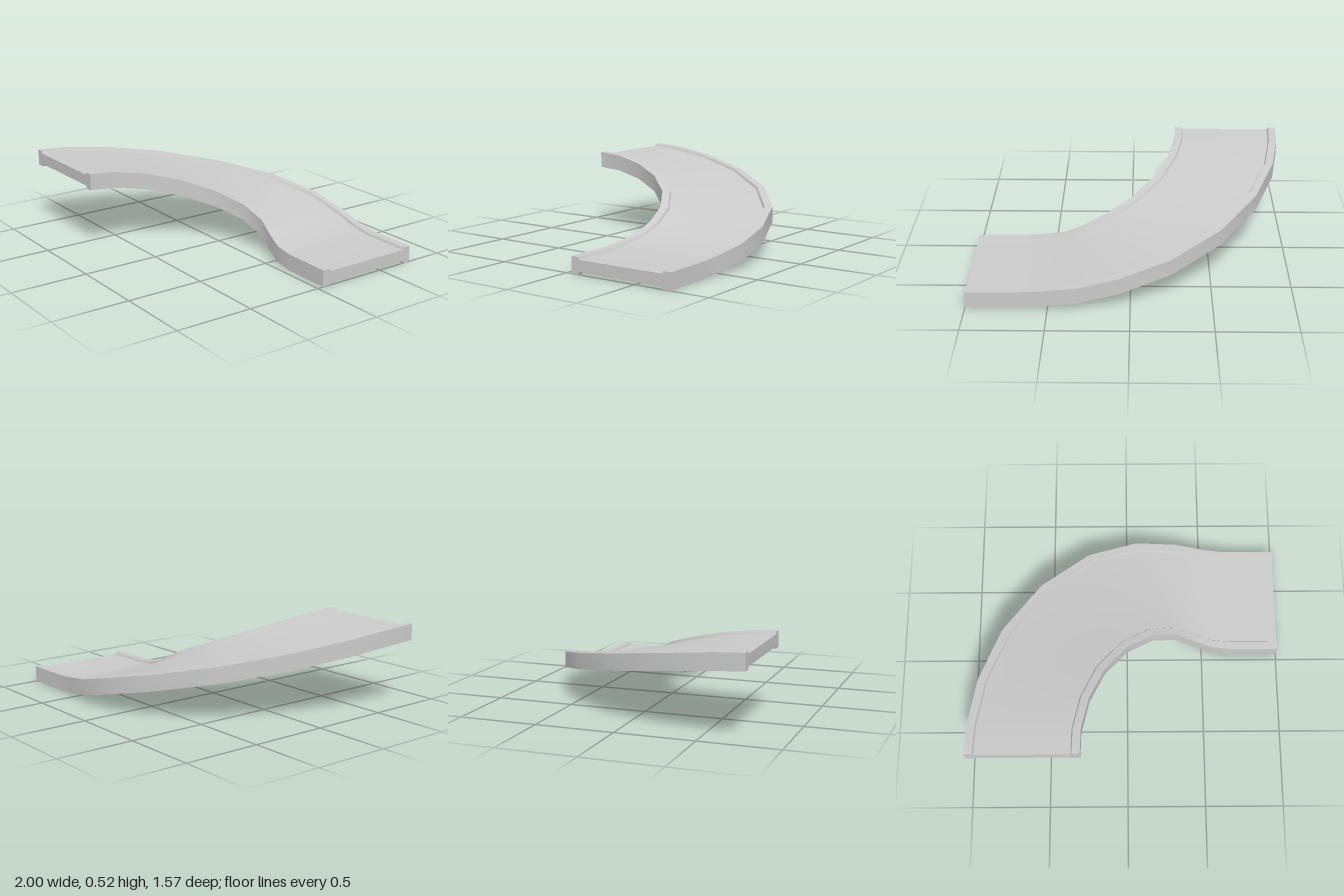
import * as THREE from 'three';

// Stations along the ramp: outer x, outer z, inner x, inner z, underside height
const STATIONS = [
  [-1.0, 0.783, -0.293, 0.783, 0.42],
  [-0.99, 0.59, -0.288, 0.62, 0.408],
  [-0.938, 0.29, -0.24, 0.41, 0.372],
  [-0.8, -0.065, -0.145, 0.205, 0.316],
  [-0.56, -0.403, 0.003, 0.03, 0.246],
  [-0.25, -0.652, 0.17, -0.075, 0.177],
  [0.067, -0.769, 0.32, -0.105, 0.11],
  [0.33, -0.785, 0.435, -0.082, 0.05],
  [0.53, -0.76, 0.56, -0.048, 0.016],
  [0.67, -0.749, 0.68, -0.04, 0.002],
  [1.0, -0.749, 1.0, -0.04, 0],
];

// Cross-section, counter-clockwise: [side (0 outer, 1 inner), inset, height]
const H = 0.105, RAIL = 0.05, FOOT = 0.058, LIP = 0.016;
const PROFILE = [
  [0, 0, 0], [0, RAIL, 0], [0, FOOT, LIP],
  [1, FOOT, LIP], [1, RAIL, 0], [1, 0, 0],
  [1, 0, H], [1, RAIL, H], [1, FOOT, H - LIP],
  [0, FOOT, H - LIP], [0, RAIL, H], [0, 0, H],
];

function sectionPoint([ox, oz, ix, iz, base], [side, inset, height]) {
  const width = Math.hypot(ix - ox, iz - oz);
  const t = side ? 1 - inset / width : inset / width;
  return [ox + (ix - ox) * t, base + height, oz + (iz - oz) * t];
}

function makeMesh(name, positions, index) {
  const geometry = new THREE.BufferGeometry();
  geometry.setAttribute('position', new THREE.Float32BufferAttribute(positions, 3));
  geometry.setIndex(index);
  geometry.computeVertexNormals();
  const mesh = new THREE.Mesh(geometry, new THREE.MeshStandardMaterial({ color: 0xcccccc }));
  mesh.name = name;
  return mesh;
}

// Surfaces smooth along the length, sharp between the profile's faces
function sweep(name, edges) {
  const positions = [], index = [];
  for (const e of edges) {
    const start = positions.length / 3;
    STATIONS.forEach((s, i) => {
      positions.push(...sectionPoint(s, PROFILE[e]));
      positions.push(...sectionPoint(s, PROFILE[(e + 1) % PROFILE.length]));
      if (i === STATIONS.length - 1) return;
      const a = start + i * 2;
      index.push(a, a + 2, a + 1, a + 1, a + 2, a + 3);
    });
  }
  return makeMesh(name, positions, index);
}

// Flat end face
function cap(name, station, reversed) {
  const outline = PROFILE.map(([side, inset, h]) => new THREE.Vector2(side ? 0.71 - inset : inset, h));
  const index = THREE.ShapeUtils.triangulateShape(outline, [])
    .flatMap(([a, b, c]) => (reversed ? [a, c, b] : [a, b, c]));
  return makeMesh(name, PROFILE.flatMap((p) => sectionPoint(station, p)), index);
}

export function createModel() {
  const group = new THREE.Group();
  group.name = 'curvedRamp';
  group.add(
    sweep('deckTop', [8]),
    sweep('deckUnderside', [2]),
    sweep('outerRail', [9, 10, 11, 0, 1]),
    sweep('innerRail', [3, 4, 5, 6, 7]),
    cap('upperEnd', STATIONS[0], false),
    cap('lowerEnd', STATIONS[STATIONS.length - 1], true),
  );
  return group;
}
